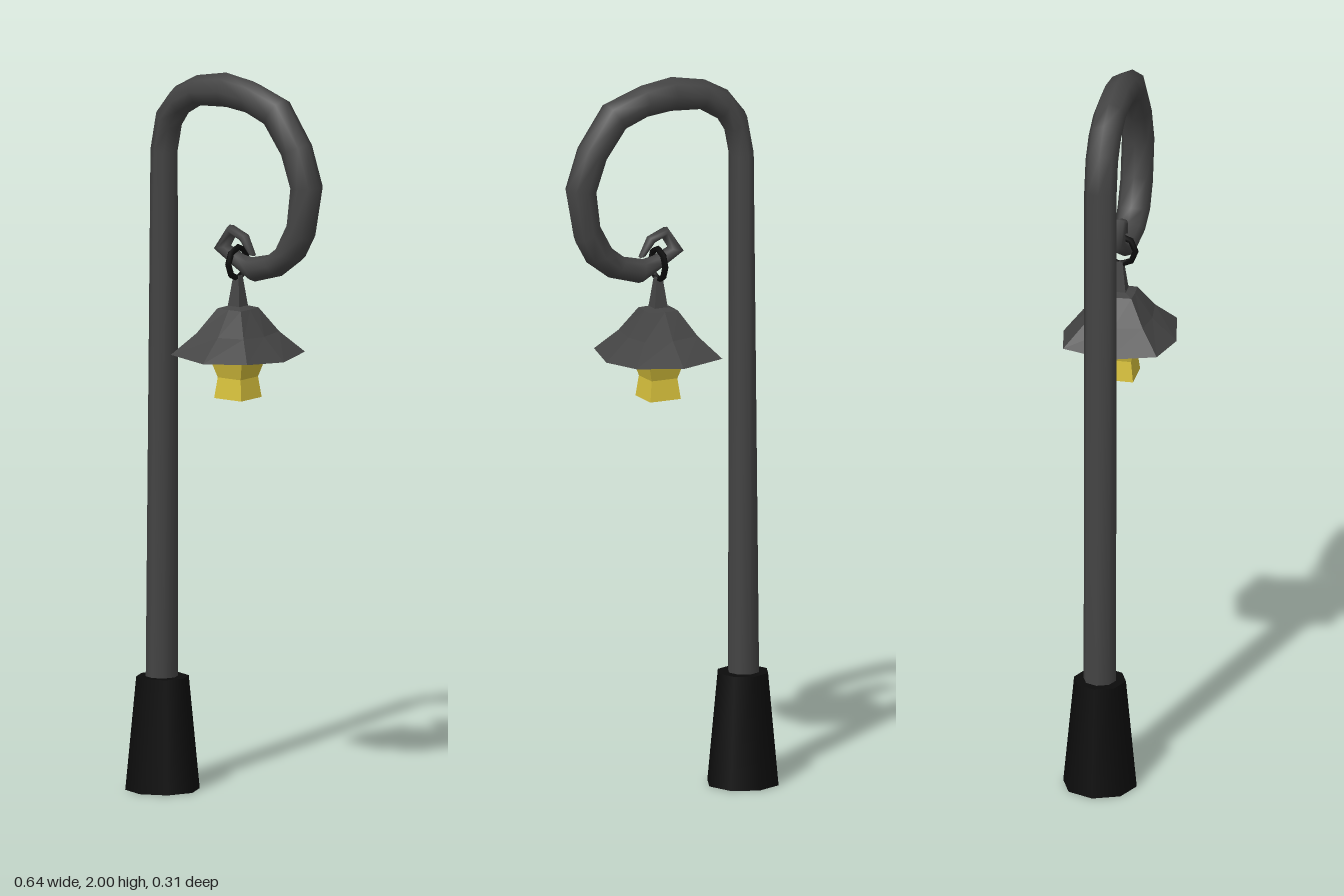
import * as THREE from 'three';

const material = (name, color) => {
  const m = new THREE.MeshStandardMaterial({ color });
  m.name = name;
  return m;
};

// Skin a list of equal-length rings (each counter-clockwise about the path)
function loft(rings, flat) {
  const n = rings[0].length, index = [];
  for (let i = 0; i < rings.length - 1; i++) {
    for (let j = 0; j < n; j++) {
      const a = i * n + j, b = i * n + (j + 1) % n;
      index.push(a, b, b + n, a, b + n, a + n);
    }
  }
  let g = new THREE.BufferGeometry().setFromPoints(rings.flat());
  g.setIndex(index);
  if (flat) g = g.toNonIndexed();
  g.computeVertexNormals();
  return g;
}

// Square ring whose side midpoints may bow outwards and sag
function squareRing(y, corner, mid = corner, midY = y) {
  return Array.from({ length: 8 }, (_, k) => {
    const a = k * Math.PI / 4, r = k % 2 ? corner * Math.SQRT2 : mid;
    return new THREE.Vector3(Math.sin(a) * r, k % 2 ? y : midY, Math.cos(a) * r);
  });
}

// Octagonal ring spanning an outer and an inner point of the arm
function armRing([ox, oy, ix, iy, rz]) {
  return Array.from({ length: 8 }, (_, k) => {
    const a = k * Math.PI / 4, c = Math.cos(a) / 2;
    return new THREE.Vector3(
      (ox + ix) / 2 + (ox - ix) * c, (oy + iy) / 2 + (oy - iy) * c, Math.sin(a) * rz);
  });
}

export function createModel() {
  const iron = material('dark grey iron', 0x444444);
  const black = material('black iron', 0x0c0c0c);
  const glass = material('yellow glass', 0xd6c03c);
  const model = new THREE.Group();
  const add = (name, geometry, mat, parent = model) => {
    const mesh = new THREE.Mesh(geometry, mat);
    mesh.name = name;
    parent.add(mesh);
    return mesh;
  };

  // Tapered foot
  add('base', new THREE.CylinderGeometry(0.072, 0.102, 0.312, 8), black)
    .position.set(-0.217, 0.156, 0);

  // Pole, arch and curled hook: outer x, y, inner x, y, half depth
  const arm = [
    [-0.263, 0.30, -0.175, 0.30, 0.045],
    [-0.243, 1.77, -0.18, 1.76, 0.045],
    [-0.222, 1.88, -0.167, 1.825, 0.045],
    [-0.17, 1.945, -0.14, 1.868, 0.045],
    [-0.10, 1.982, -0.087, 1.90, 0.045],
    [0, 2, 0, 1.905, 0.045],
    [0.09, 1.986, 0.077, 1.896, 0.045],
    [0.20, 1.947, 0.145, 1.868, 0.045],
    [0.28, 1.83, 0.20, 1.794, 0.045],
    [0.318, 1.715, 0.23, 1.709, 0.045],
    [0.29, 1.57, 0.22, 1.614, 0.045],
    [0.257, 1.51, 0.18, 1.54, 0.045],
    [0.19, 1.46, 0.145, 1.513, 0.042],
    [0.098, 1.434, 0.087, 1.50, 0.035],
    [0.035, 1.47, 0.05, 1.505, 0.028],
    [-0.035, 1.513, 0.01, 1.523, 0.025],
    [0.013, 1.582, 0.03, 1.555, 0.022],
    [0.07, 1.56, 0.053, 1.543, 0.018],
    [0.098, 1.505, 0.08, 1.51, 0.012],
    [0.089, 1.507, 0.089, 1.507, 0],
  ];
  add('poleAndHook', loft(arm.map(armRing)), iron);

  // Hanging ring through the hook
  const ring = add('hangingRing', new THREE.TorusGeometry(0.043, 0.009, 5, 8), black);
  ring.rotation.y = Math.PI / 2;
  ring.position.set(0.04, 1.48, 0);

  const lantern = new THREE.Group();
  lantern.name = 'lantern';
  lantern.position.x = 0.04;
  model.add(lantern);

  // Flared roof with hollow underside
  add('roof', loft([
    squareRing(1.25, 0.075),
    squareRing(1.23, 0.13, 0.157, 1.222),
    squareRing(1.288, 0.08, 0.09, 1.285),
    squareRing(1.355, 0.04, 0.042),
    squareRing(1.368, 0),
  ], true), iron, lantern);

  // Stem from the roof to the ring
  add('stem', loft([
    squareRing(1.35, 0.021), squareRing(1.445, 0.009), squareRing(1.445, 0),
  ], true), iron, lantern);

  // Waisted glass body flaring out under the roof
  add('glassBody', loft([
    squareRing(1.108, 0), squareRing(1.108, 0.046), squareRing(1.165, 0.039),
    squareRing(1.22, 0.055), squareRing(1.248, 0.082), squareRing(1.262, 0),
  ], true), glass, lantern);

  return model;
}
